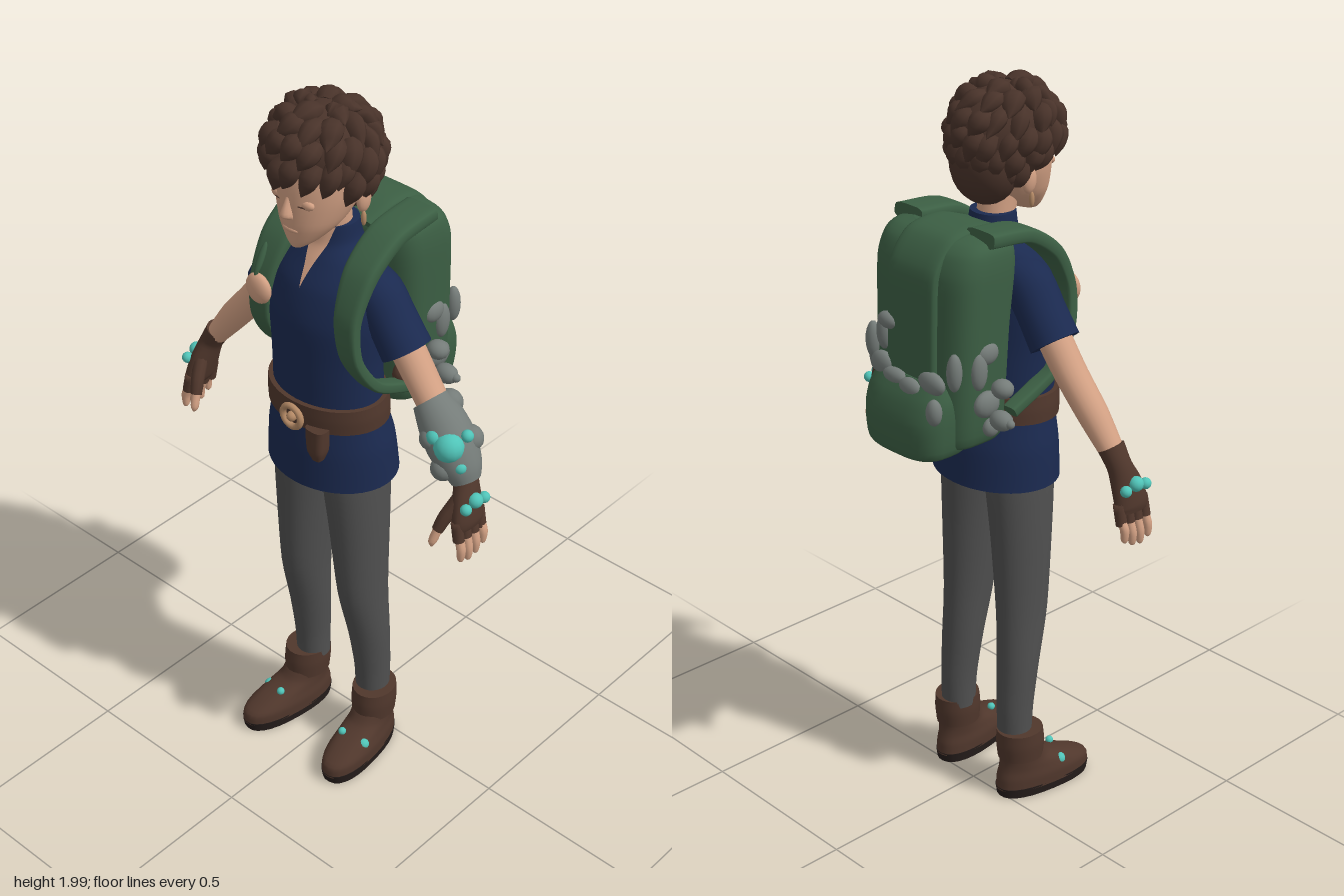
import * as THREE from 'three';

const V = (x, y, z) => new THREE.Vector3(x, y, z);
const colors = {
  skin: 0xd3a184, hair: 0x49332a, navy: 0x1b2a50, trousers: 0x505050, green: 0x3c5f44,
  leather: 0x50372c, sole: 0x241c1a, grey: 0x757c79, cyan: 0x50c4b8, brass: 0xb58a66,
};

export function createModel() {
  const model = new THREE.Group();
  const M = {};
  for (const k in colors) {
    M[k] = new THREE.MeshStandardMaterial({ color: colors[k] });
    M[k].name = k;
  }
  const add = (name, mat, geo, parent = model) => {
    const m = new THREE.Mesh(geo, M[mat]);
    m.name = name;
    parent.add(m);
    return m;
  };

  // Rows are [x, y, z, halfWidth, halfDepth]; returns smooth curves for centres and radii
  const curves = rows => [
    new THREE.CatmullRomCurve3(rows.map(r => V(r[0], r[1], r[2])), false, 'catmullrom', 0.4),
    new THREE.CatmullRomCurve3(rows.map(r => V(r[3], r[4], 0)), false, 'catmullrom', 0.4),
  ];

  // Loft of superellipse rings; flat keeps every ring horizontal
  function loft(rows, { flat = false, seg = 20, steps = 4, p = 2 } = {}) {
    const [P, R] = curves(rows), n = (rows.length - 1) * steps;
    const pos = [], idx = [], X = V(1, 0, 0);
    const rings = [];
    for (let i = 0; i <= n; i++) {
      const c = P.getPoint(i / n), r = R.getPoint(i / n);
      const T = flat ? V(0, 1, 0) : P.getTangent(i / n);
      const u = X.clone().addScaledVector(T, -T.x).normalize(), v = u.clone().cross(T);
      const ring = [];
      for (let j = 0; j < seg; j++) {
        const a = j / seg * Math.PI * 2, co = Math.cos(a), si = Math.sin(a), e = 2 / p;
        const q = c.clone()
          .addScaledVector(u, r.x * Math.sign(co) * Math.abs(co) ** e)
          .addScaledVector(v, r.y * Math.sign(si) * Math.abs(si) ** e);
        ring.push(q);
        pos.push(q.x, q.y, q.z);
      }
      rings.push({ c, ring });
    }
    for (let i = 0; i < n; i++) for (let j = 0; j < seg; j++) {
      const k = (j + 1) % seg, a = i * seg + j, b = i * seg + k;
      idx.push(a, a + seg, b, b, a + seg, b + seg);
    }
    // End caps with their own vertices for crisp rims
    for (const [i, end] of [[0, false], [n, true]]) {
      const base = pos.length / 3;
      for (const q of [rings[i].c, ...rings[i].ring]) pos.push(q.x, q.y, q.z);
      for (let j = 0; j < seg; j++) {
        const a = base + 1 + j, b = base + 1 + (j + 1) % seg;
        idx.push(base, end ? b : a, end ? a : b);
      }
    }
    const g = new THREE.BufferGeometry();
    g.setAttribute('position', new THREE.Float32BufferAttribute(pos, 3));
    g.setIndex(idx);
    g.computeVertexNormals();
    return g;
  }
  const side = (rows, s) => rows.map(([x, ...r]) => [x * s, ...r]);
  const blob = (name, mat, x, y, z, a, b = a, c = a) => {
    const m = add(name, mat, new THREE.SphereGeometry(1, 14, 10));
    m.position.set(x, y, z);
    m.scale.set(a, b, c);
    return m;
  };

  // Tunic, with an open V neck lying on its surface
  const tunic = [[0, 0.945, 0.08, 0.185, 0.15], [0, 1.05, 0.085, 0.178, 0.14], [0, 1.16, 0.095, 0.158, 0.12],
    [0, 1.3, 0.1, 0.155, 0.118], [0, 1.42, 0.1, 0.163, 0.118], [0, 1.51, 0.088, 0.155, 0.105],
    [0, 1.57, 0.07, 0.115, 0.085], [0, 1.61, 0.065, 0.07, 0.065], [0, 1.66, 0.066, 0.06, 0.056]];
  add('tunic', 'navy', loft(tunic, { flat: true, seg: 40, steps: 6 }));
  const [tp, tr] = curves(tunic), neck = new THREE.PlaneGeometry(2, 1, 8, 16), np = neck.attributes.position;
  for (let i = 0; i < np.count; i++) {
    const v = np.getY(i) + 0.5, t = 0.63 + 0.37 * v, c = tp.getPoint(t), r = tr.getPoint(t);
    const x = np.getX(i) * 0.042 * v;
    np.setXYZ(i, x, c.y, c.z + r.y * Math.sqrt(1 - (x / r.x) ** 2) + 0.005);
  }
  neck.computeVertexNormals();
  add('neckOpening', 'skin', neck);
  add('neck', 'skin', loft([[0, 1.56, 0.07, 0.05, 0.05], [0, 1.64, 0.075, 0.048, 0.05], [0, 1.72, 0.09, 0.05, 0.055]], { flat: true }));

  // Belt, buckle and pouches
  add('belt', 'leather', loft([[0, 1.125, 0.094, 0.172, 0.132], [0, 1.16, 0.096, 0.172, 0.132], [0, 1.195, 0.098, 0.168, 0.13]], { flat: true, seg: 40 }));
  const buckle = add('buckle', 'brass', new THREE.TorusGeometry(0.03, 0.009, 8, 20));
  buckle.position.set(0, 1.15, 0.232);
  add('buckleStud', 'brass', new THREE.SphereGeometry(0.014, 12, 8)).position.set(0, 1.15, 0.232);
  add('beltPouch', 'leather', loft([[0.078, 1.05, 0.22, 0.014, 0.014], [0.075, 1.08, 0.218, 0.026, 0.024], [0.072, 1.14, 0.215, 0.03, 0.024]], { flat: true, p: 3 }));
  blob('hipPouch', 'leather', 0.155, 1.23, -0.01, 0.025, 0.03, 0.03);

  // Head
  add('head', 'skin', loft([[0, 1.637, 0.195, 0.018, 0.02], [0, 1.655, 0.175, 0.042, 0.046], [0, 1.7, 0.145, 0.078, 0.084],
    [0, 1.76, 0.12, 0.1, 0.112], [0, 1.82, 0.112, 0.106, 0.118], [0, 1.89, 0.105, 0.095, 0.11], [0, 1.94, 0.1, 0.05, 0.06]],
    { flat: true, seg: 32 }));
  add('nose', 'skin', loft([[0, 1.722, 0.222, 0.016, 0.016], [0, 1.735, 0.232, 0.016, 0.02], [0, 1.765, 0.226, 0.009, 0.014], [0, 1.79, 0.218, 0.008, 0.008]], { flat: true, seg: 12 }));
  blob('lips', 'skin', 0, 1.69, 0.222, 0.025, 0.008, 0.008);
  for (const s of [-1, 1]) {
    blob('eyelid', 'skin', s * 0.043, 1.767, 0.212, 0.024, 0.014, 0.012);
    const lash = blob('eyelash', 'hair', s * 0.045, 1.762, 0.219, 0.02, 0.0025, 0.005);
    lash.rotation.y = s * 0.35;
    blob('ear', 'skin', s * 0.107, 1.755, 0.085, 0.014, 0.036, 0.022);
    blob('earring', 'brass', s * 0.112, 1.705, 0.09, 0.007, 0.02, 0.007);
  }

  // Hair: cap plus rows of swept pointed locks
  let seed = 7;
  const rnd = () => (seed = (seed * 16807) % 2147483647) / 2147483647;
  const onScalp = (a, f, r) => [0.122 * r * Math.sin(f) * Math.cos(a), 1.85 + 0.125 * r * Math.cos(f), 0.105 + 0.133 * r * Math.sin(f) * Math.sin(a)];
  const hair = new THREE.Group();
  hair.name = 'hair';
  model.add(hair);
  const cap = add('hairCap', 'hair', new THREE.SphereGeometry(1, 24, 16), hair);
  cap.scale.set(0.118, 0.115, 0.128);
  cap.position.set(0, 1.862, 0.092);
  cap.rotation.x = -0.2;
  const nape = add('hairNape', 'hair', new THREE.SphereGeometry(1, 20, 14), hair);
  nape.scale.set(0.1, 0.1, 0.075);
  nape.position.set(0, 1.78, 0.035);
  [[0.1, 5], [0.45, 10], [0.85, 15], [1.25, 18], [1.6, 18], [1.95, 18]].forEach(([f0, n], row) => {
    for (let i = 0; i < n; i++) {
      const a = (i + row * 0.5 + rnd() * 0.4) / n * Math.PI * 2, front = Math.sin(a);
      if (f0 > 1.5 && front > 0.25 || f0 > 1.8 && front > -0.2) continue;
      const f = f0 + rnd() * 0.12, len = 0.45 + rnd() * 0.2, tw = 0.25;
      const w = 0.026 + rnd() * 0.008;
      const lock = [[0, 0.93, w * 0.7], [0.35, 1.03, w], [0.7, 1.07, w * 0.7], [1, 1.1 + rnd() * 0.08, 0.001]]
        .map(([t, r, k]) => [...onScalp(a + t * tw, f + t * len, r), k, k * 0.75]);
      add('hairLock', 'hair', loft(lock, { seg: 8, steps: 3 }), hair);
    }
  });

  for (const s of [-1, 1]) {
    // Sleeves and arms
    add('sleeve', 'navy', loft(side([[0.09, 1.53, 0.065, 0.04, 0.06], [0.135, 1.495, 0.063, 0.063, 0.064], [0.18, 1.435, 0.062, 0.062, 0.064], [0.228, 1.368, 0.062, 0.065, 0.066]], s)));
    add('arm', 'skin', loft(side([[0.18, 1.44, 0.062, 0.045, 0.045], [0.24, 1.36, 0.062, 0.043, 0.044], [0.29, 1.295, 0.064, 0.04, 0.043],
      [0.36, 1.21, 0.07, 0.038, 0.04], [0.435, 1.11, 0.078, 0.026, 0.03]], s)));

    // Fingerless glove, fingers and thumb
    add('glove', 'leather', loft(side([[0.415, 1.145, 0.075, 0.033, 0.036], [0.44, 1.1, 0.08, 0.03, 0.033], [0.455, 1.05, 0.092, 0.03, 0.045], [0.466, 1.0, 0.1, 0.027, 0.052], [0.47, 0.98, 0.1, 0.02, 0.048]], s)));
    for (let i = 0; i < 4; i++) {
      const z = 0.056 + i * 0.028, d = [0.02, 0.005, 0, 0.01][i];
      add('gloveFinger', 'leather', loft(side([[0.464, 1.01, z, 0.015, 0.015], [0.475, 0.955, z + 0.002, 0.015, 0.015]], s), { seg: 10 }));
      add('finger', 'skin', loft(side([[0.472, 0.97, z, 0.012, 0.012], [0.484, 0.925 + d, z + 0.003, 0.012, 0.012], [0.484, 0.895 + d, z + 0.004, 0.009, 0.009], [0.482, 0.888 + d, z + 0.004, 0.002, 0.002]], s), { seg: 10 }));
    }
    add('gloveThumb', 'leather', loft(side([[0.45, 1.06, 0.11, 0.02, 0.02], [0.432, 1.01, 0.145, 0.018, 0.018], [0.423, 0.975, 0.162, 0.015, 0.015]], s), { seg: 10 }));
    add('thumb', 'skin', loft(side([[0.425, 0.985, 0.158, 0.012, 0.012], [0.418, 0.945, 0.174, 0.011, 0.011], [0.418, 0.93, 0.178, 0.003, 0.003]], s), { seg: 10 }));
    for (const [y, z, r] of [[1.05, 0.06, 0.015], [1.06, 0.095, 0.02], [1.05, 0.13, 0.015]]) blob('gloveBead', 'cyan', s * 0.484, y, z, r);

    // Trousers
    add('trouserLeg', 'trousers', loft(side([[0.112, 0.18, 0.048, 0.046, 0.048], [0.112, 0.27, 0.05, 0.048, 0.052], [0.109, 0.4, 0.062, 0.055, 0.06],
      [0.103, 0.56, 0.08, 0.06, 0.077], [0.094, 0.78, 0.084, 0.072, 0.09], [0.085, 0.93, 0.085, 0.08, 0.1], [0.08, 1.03, 0.085, 0.08, 0.1]], s), { flat: true, seg: 24 }));

    // Boots, turned slightly outward
    const boot = new THREE.Group();
    boot.name = 'boot';
    boot.position.x = s * 0.118;
    boot.rotation.y = s * 0.14;
    model.add(boot);
    add('bootSole', 'sole', loft([[0, 0, 0.135, 0.058, 0.145], [0, 0.028, 0.135, 0.06, 0.15]], { flat: true, seg: 28, p: 2.4 }), boot);
    add('bootFoot', 'leather', loft([[0, 0.022, 0.135, 0.06, 0.15], [0, 0.055, 0.133, 0.06, 0.145], [0, 0.08, 0.11, 0.054, 0.115], [0, 0.105, 0.075, 0.05, 0.075], [0, 0.14, 0.06, 0.05, 0.06]], { flat: true, seg: 28, p: 2.3 }), boot);
    add('bootCuff', 'leather', loft([[0, 0.115, 0.06, 0.057, 0.066], [0, 0.16, 0.058, 0.06, 0.069], [0, 0.2, 0.056, 0.058, 0.066]], { flat: true, seg: 24 }), boot);
    blob('bootBead', 'cyan', s * 0.178, 0.075, 0.16, 0.017);
    blob('bootBead', 'cyan', s * 0.118, 0.098, 0.18, 0.011);

    // Pack straps over the shoulders
    add('packStrap', 'green', loft(side([[0.13, 1.655, -0.1, 0.05, 0.02], [0.132, 1.64, 0.03, 0.05, 0.02], [0.135, 1.575, 0.125, 0.046, 0.02], [0.14, 1.47, 0.178, 0.036, 0.018],
      [0.15, 1.36, 0.175, 0.03, 0.016], [0.165, 1.26, 0.11, 0.024, 0.015], [0.165, 1.19, -0.03, 0.022, 0.015]], s), { p: 4, steps: 6 }));

    // Side growths on the pack
    for (const b of [[0.165, 1.37, -0.11, 0.02, 0.03, 0.035], [0.168, 1.33, -0.14, 0.018, 0.05, 0.025], [0.2, 1.28, -0.09, 0.03, 0.025, 0.028],
      [0.175, 1.24, -0.12, 0.022, 0.035, 0.04], [0.215, 1.205, -0.108, 0.034, 0.026, 0.026], [0.245, 1.205, -0.108, 0.014, 0.012, 0.012],
      [0.17, 1.17, -0.1, 0.018, 0.025, 0.025], [0.15, 1.34, -0.205, 0.02, 0.05, 0.02]]) blob('packGrowth', 'grey', s * b[0], ...b.slice(1));
  }

  // Backpack body, lid panel and lower pocket
  add('packBody', 'green', loft([[0, 1.105, -0.11, 0.11, 0.08], [0, 1.13, -0.11, 0.155, 0.1], [0, 1.25, -0.11, 0.168, 0.106], [0, 1.42, -0.105, 0.174, 0.108],
    [0, 1.56, -0.095, 0.178, 0.112], [0, 1.62, -0.085, 0.172, 0.1], [0, 1.645, -0.08, 0.155, 0.075], [0, 1.655, -0.08, 0.11, 0.04]], { flat: true, seg: 40, p: 3.6 }));
  add('packPanel', 'green', loft([[-0.01, 1.63, 0.015, 0.08, 0.014], [-0.01, 1.653, -0.06, 0.085, 0.014], [-0.01, 1.64, -0.15, 0.085, 0.016], [-0.01, 1.57, -0.205, 0.085, 0.016],
    [-0.01, 1.45, -0.213, 0.085, 0.016], [-0.01, 1.3, -0.215, 0.085, 0.016]], { p: 4, steps: 6 }));
  add('packPocket', 'green', loft([[0, 1.088, -0.19, 0.09, 0.065], [0, 1.11, -0.195, 0.13, 0.088], [0, 1.19, -0.195, 0.14, 0.092], [0, 1.25, -0.188, 0.138, 0.08], [0, 1.3, -0.18, 0.12, 0.055]],
    { flat: true, seg: 32, p: 3 }));
  for (const b of [[-0.09, 1.3, -0.225, 0.045, 0.03], [-0.03, 1.275, -0.24, 0.04, 0.025], [0.03, 1.285, -0.235, 0.045, 0.022], [0.09, 1.3, -0.225, 0.04, 0.032],
    [0.1, 1.38, -0.21, 0.022, 0.05], [-0.125, 1.24, -0.25, 0.022, 0.035], [0.07, 1.42, -0.222, 0.035, 0.022]]) blob('pocketGrowth', 'grey', ...b, 0.02);

  // Shell charm and leaf on the right strap
  blob('strapShell', 'skin', -0.135, 1.455, 0.2, 0.04, 0.042, 0.02);
  const leaf = blob('strapLeaf', 'green', -0.14, 1.53, 0.185, 0.01, 0.045, 0.008);
  leaf.rotation.x = -0.5;

  // Crystal-studded bracer on the left forearm
  add('bracer', 'grey', loft([[0.31, 1.265, 0.068, 0.044, 0.048], [0.35, 1.225, 0.072, 0.06, 0.062], [0.39, 1.18, 0.078, 0.062, 0.068], [0.425, 1.13, 0.08, 0.05, 0.056], [0.443, 1.095, 0.082, 0.036, 0.04]]));
  for (const b of [[0.34, 1.25, 0.03, 0.035], [0.42, 1.19, 0.045, 0.035], [0.4, 1.13, 0.12, 0.032], [0.36, 1.2, 0.12, 0.03]]) blob('bracerKnob', 'grey', ...b);
  for (const b of [[0.41, 1.195, 0.112, 0.04], [0.375, 1.215, 0.125, 0.022], [0.44, 1.225, 0.08, 0.016], [0.445, 1.15, 0.11, 0.018]]) blob('bracerCrystal', 'cyan', ...b);

  return model;
}
